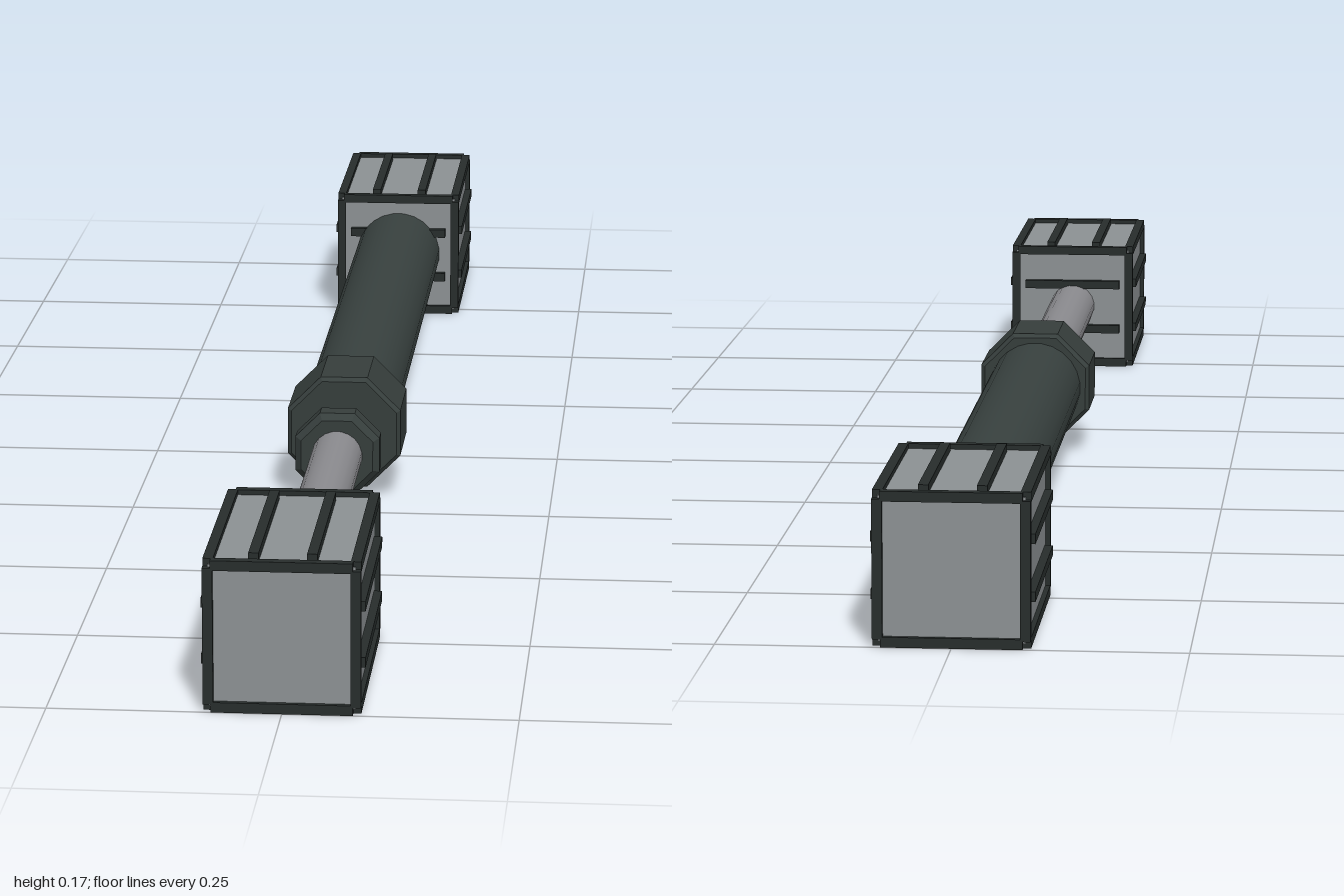
import * as THREE from 'three';

const mat = (name, color) => {
  const m = new THREE.MeshStandardMaterial({ color });
  m.name = name;
  return m;
};

export function createModel() {
  const blockGrey = mat('block grey', 0x8c9193);
  const rodGrey = mat('rod grey', 0x8b8b8f);
  const tubeDark = mat('dark tube', 0x38413f);
  const trimDark = mat('dark trim', 0x272d2c);
  const flatDark = mat('dark collar', 0x363e3c);
  flatDark.flatShading = true;

  const root = new THREE.Group();
  root.name = 'telescopicStrut';
  const CY = 0.0835; // height of the main axis

  const add = (parent, name, geo, material, x = 0, y = 0, z = 0) => {
    const m = new THREE.Mesh(geo, material);
    m.name = name;
    m.position.set(x, y, z);
    parent.add(m);
    return m;
  };

  // Eight-sided ring with chamfered rims, or a round bar, along z from z0 to z1
  const turned = (name, r, z0, z1, material, sides, chamfer = 0) => {
    const h = (z1 - z0) / 2;
    const pts = [[0, -h], [r - chamfer, -h], [r, -h + chamfer], [r, h - chamfer], [r - chamfer, h], [0, h]]
      .map(([a, b]) => new THREE.Vector2(a, b));
    const geo = chamfer
      ? new THREE.LatheGeometry(pts, sides, Math.PI / sides)
      : new THREE.CylinderGeometry(r, r, 2 * h, sides, 1, false, Math.PI / sides);
    geo.rotateX(Math.PI / 2);
    add(root, name, geo, material, 0, CY, (z0 + z1) / 2);
  };

  turned('outerTube', 0.057, -0.74, 0.1, tubeDark, 24);
  turned('innerRod', 0.03, 0.05, 0.74, rodGrey, 20);
  const oct = 1 / Math.cos(Math.PI / 8);
  turned('tubeCollar', 0.068 * oct, 0.085, 0.197, flatDark, 8, 0.005);
  turned('lockRing', 0.05 * oct, 0.258, 0.298, flatDark, 8, 0.008);

  // End block; its plain outer end faces +z, the ribbed inner end faces -z
  const makeBlock = (name) => {
    const g = new THREE.Group();
    g.name = name;
    const H = 0.078, L = 0.1325, B = 0.011; // half width, half length, bar size
    add(g, 'blockBody', new THREE.BoxGeometry(2 * H, 2 * H, 2 * L), blockGrey);

    // Trim bars along all twelve edges, stopping short of the corners
    const along = (len) => new THREE.BoxGeometry(B, B, len);
    for (const s of [-1, 1]) {
      for (const t of [-1, 1]) {
        add(g, 'edgeTrimLong', along(2 * L - 0.006), trimDark, s * H, t * H, 0);
        add(g, 'edgeTrimAcross', along(2 * H - 0.006).rotateY(Math.PI / 2), trimDark, 0, s * H, t * L);
        add(g, 'edgeTrimUpright', along(2 * H - 0.006).rotateX(Math.PI / 2), trimDark, s * H, 0, t * L);
      }
    }

    // Raised ribs: two each on the top, both sides and the inner end
    const R = 0.031;
    for (const s of [-1, 1]) {
      add(g, 'topRib', new THREE.BoxGeometry(0.011, 0.018, 0.235), trimDark, s * R, H, 0);
      for (const side of [-1, 1]) {
        add(g, 'sideRib', new THREE.BoxGeometry(0.018, 0.011, 0.235), trimDark, side * H, s * R, 0);
      }
      add(g, 'innerRib', new THREE.BoxGeometry(0.13, 0.011, 0.018), trimDark, 0, s * R, -L);
    }
    root.add(g);
    return g;
  };

  const front = makeBlock('frontBlock');
  front.position.set(0, CY, 0.862);
  const back = makeBlock('backBlock');
  back.position.set(0, CY, -0.862);
  back.rotation.y = Math.PI;

  return root;
}
